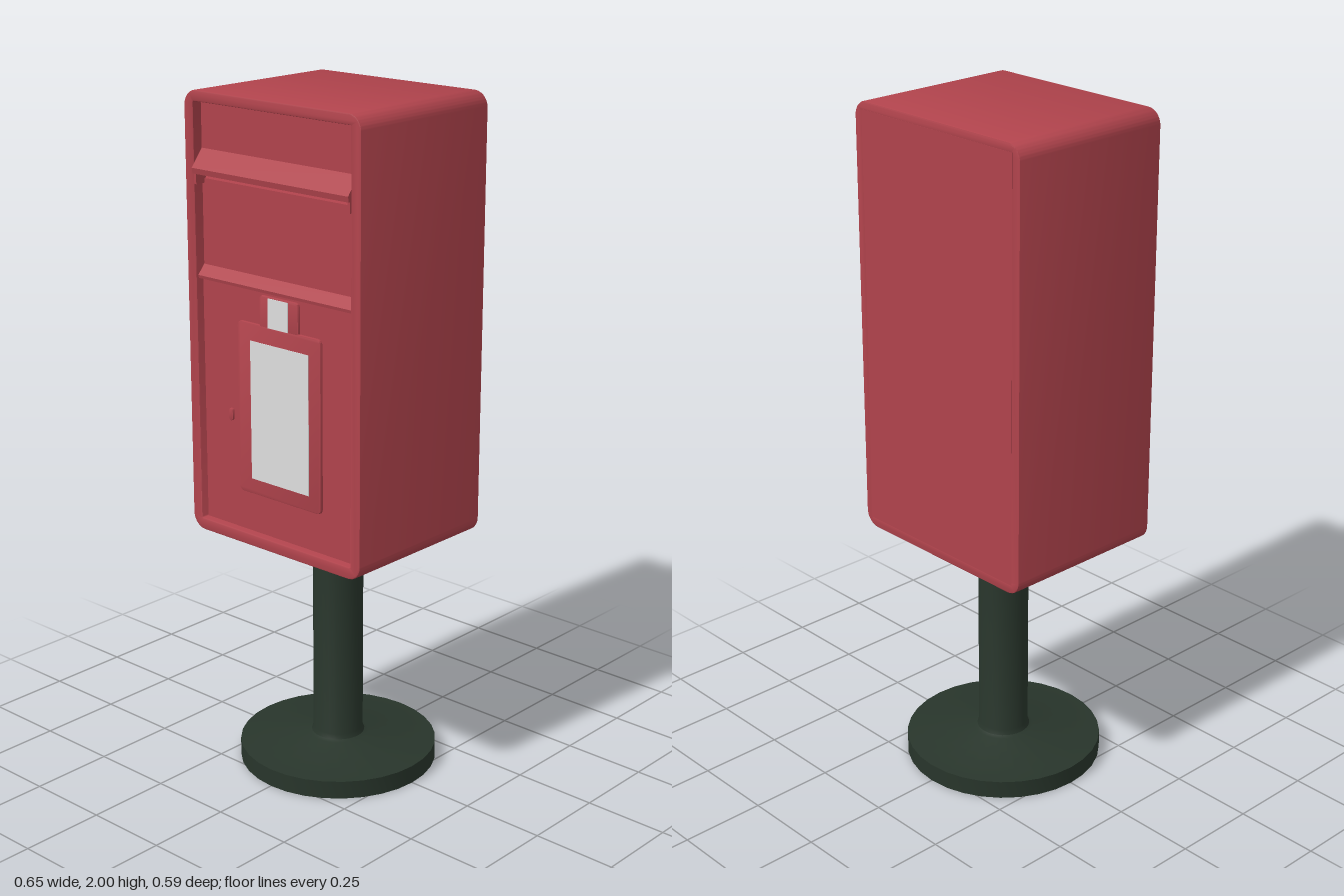
import * as THREE from 'three';
import { toCreasedNormals } from 'three/addons/utils/BufferGeometryUtils.js';

const red = new THREE.MeshStandardMaterial({ color: 0xb0434c });
red.name = 'post red';
const green = new THREE.MeshStandardMaterial({ color: 0x28352b });
green.name = 'dark green';
const white = new THREE.MeshStandardMaterial({ color: 0xdedede });
white.name = 'notice white';

function roundedRect(target, x0, y0, x1, y1, r) {
  target.moveTo(x0 + r, y0);
  target.lineTo(x1 - r, y0);
  target.absarc(x1 - r, y0 + r, r, -Math.PI / 2, 0);
  target.lineTo(x1, y1 - r);
  target.absarc(x1 - r, y1 - r, r, 0, Math.PI / 2);
  target.lineTo(x0 + r, y1);
  target.absarc(x0 + r, y1 - r, r, Math.PI / 2, Math.PI);
  target.lineTo(x0, y0 + r);
  target.absarc(x0 + r, y0 + r, r, Math.PI, Math.PI * 1.5);
  return target;
}

function bevelled(shape, z0, z1, bevel) {
  const g = new THREE.ExtrudeGeometry(shape, {
    depth: z1 - z0 - 2 * bevel, bevelEnabled: true, bevelThickness: bevel,
    bevelSize: bevel, bevelOffset: -bevel, bevelSegments: 2, curveSegments: 8,
  });
  g.translate(0, 0, z0 + bevel);
  return toCreasedNormals(g, 0.6);
}

export function createModel() {
  const model = new THREE.Group();
  model.name = 'postBox';
  const add = (name, geometry, material, x = 0, y = 0, z = 0) => {
    const mesh = new THREE.Mesh(geometry, material);
    mesh.name = name;
    mesh.position.set(x, y, z);
    model.add(mesh);
    return mesh;
  };
  const box = (name, x0, x1, y0, y1, z0, z1, material) => add(name,
    new THREE.BoxGeometry(x1 - x0, y1 - y0, z1 - z0), material,
    (x0 + x1) / 2, (y0 + y1) / 2, (z0 + z1) / 2);

  // Stand: spreading foot with a small fillet into the post
  const profile = [[0, 0], [0.293, 0], [0.293, 0.054], [0.09, 0.075], [0.079, 0.08],
    [0.074, 0.095], [0.074, 0.74], [0, 0.74]].map(([r, y]) => new THREE.Vector2(r, y));
  add('stand', toCreasedNormals(new THREE.LatheGeometry(profile, 32), 0.6), green);

  // Case: rounded sleeve, open to the front and closed by a back panel
  const sleeve = roundedRect(new THREE.Shape(), -0.323, 0.726, 0.323, 2, 0.045);
  sleeve.holes.push(roundedRect(new THREE.Path(), -0.288, 0.761, 0.288, 1.969, 0.004));
  add('case', bevelled(sleeve, -0.247, 0.27, 0.004), red);
  box('backPanel', -0.295, 0.295, 0.754, 1.976, -0.2475, -0.2, red);

  // Fascia: side profile (z, y) with door, sill, letter slot and hood
  const side = new THREE.Shape([
    [0.17, 0.761], [0.245, 0.761], [0.245, 1.475], [0.262, 1.475], [0.264, 1.484],
    [0.24, 1.512], [0.24, 1.755], [0.19, 1.76], [0.19, 1.785], [0.268, 1.785],
    [0.27, 1.772], [0.277, 1.772], [0.28, 1.788], [0.24, 1.838], [0.24, 1.969], [0.17, 1.969],
  ].map(([z, y]) => new THREE.Vector2(z, y)));
  const fascia = new THREE.ExtrudeGeometry(side, { depth: 0.575, bevelEnabled: false });
  fascia.rotateY(-Math.PI / 2);
  fascia.translate(0.2875, 0, 0);
  add('fascia', fascia, red);

  // Hood end brackets
  for (const s of [-1, 1]) {
    const bracket = box('hoodBracket', 0.279, 0.287, 1.742, 1.79, 0.235, 0.272, red);
    bracket.position.x *= s;
  }

  // Raised notice holder with a tab plate above
  add('noticeHolder', bevelled(
    roundedRect(new THREE.Shape(), -0.147, 0.878, 0.165, 1.378, 0.015), 0.24, 0.254, 0.003), red);
  add('tabHolder', bevelled(
    roundedRect(new THREE.Shape(), -0.062, 1.36, 0.083, 1.464, 0.012), 0.24, 0.2535, 0.003), red);
  box('notice', -0.097, 0.122, 0.924, 1.328, 0.25, 0.2555, white);
  box('tabPlate', -0.028, 0.047, 1.376, 1.46, 0.25, 0.2555, white);

  // Keyhole cover: a small raised oval
  add('keyholeCover', bevelled(
    roundedRect(new THREE.Shape(), -0.189, 1.077, -0.173, 1.113, 0.0075), 0.24, 0.252, 0.002), red);

  return model;
}
